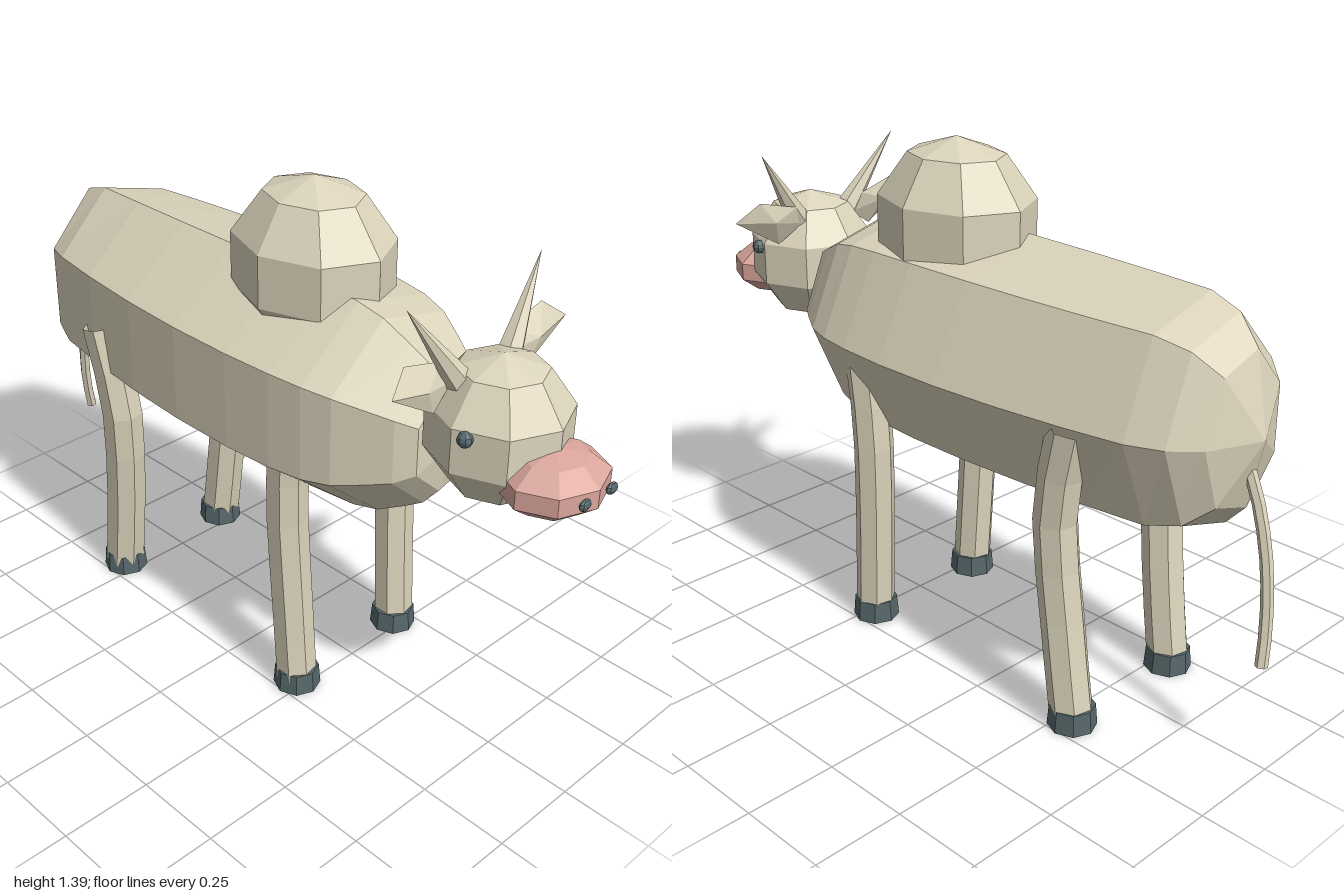
import * as THREE from 'three';
import { ConvexGeometry } from 'three/addons/geometries/ConvexGeometry.js';

const mat = (color) => new THREE.MeshStandardMaterial({ color, flatShading: true, side: THREE.DoubleSide });
const V = (x, y, z) => new THREE.Vector3(x, y, z);

export function createModel() {
  const model = new THREE.Group();
  model.name = 'ox';
  const hide = mat(0xdcd4bc), pink = mat(0xdba79d), dark = mat(0x56676a);

  const add = (name, geometry, material, pos = [0, 0, 0]) => {
    const mesh = new THREE.Mesh(geometry, material);
    mesh.name = name;
    mesh.position.set(...pos);
    model.add(mesh);
    return mesh;
  };
  // Faceted ellipsoid
  const blob = (name, material, pos, radii, w = 8, h = 5) =>
    add(name, new THREE.SphereGeometry(1, w, h), material, pos).scale.set(...radii);
  // Limb swept along a smooth path
  const limb = (name, points, radius, sides, steps = 6) =>
    add(name, new THREE.TubeGeometry(new THREE.CatmullRomCurve3(points), steps, radius, sides), hide);

  // Body: seven-sided barrel with rounded ends, slimmer toward both ends
  const profile = [
    [0, -0.925], [0.205, -0.865], [0.275, -0.8], [0.304, -0.71], [0.307, -0.55],
    [0.31, -0.35], [0.312, -0.15], [0.312, 0.05], [0.308, 0.2], [0.3, 0.3],
    [0.28, 0.38], [0.235, 0.46], [0.2, 0.515], [0.15, 0.555], [0, 0.58],
  ].map(([r, z]) => new THREE.Vector2(r, z));
  const body = new THREE.LatheGeometry(profile, 7, Math.PI / 2);
  body.rotateX(Math.PI / 2);
  const p = body.attributes.position;
  for (let i = 0; i < p.count; i++) {
    p.setX(i, p.getX(i) * (1 - 0.42 * (p.getZ(i) + 0.03) ** 2));
  }
  body.computeVertexNormals();
  add('body', body, hide, [0, 0.856, 0]);

  blob('hump', hide, [0, 1.165, 0.08], [0.2, 0.23, 0.242]);
  blob('head', hide, [0, 0.95, 0.7], [0.183, 0.19, 0.188]);
  blob('muzzle', pink, [0, 0.88, 0.865], [0.147, 0.08, 0.134]);

  for (const s of [1, -1]) {
    const side = s > 0 ? 'left' : 'right';
    blob(side + 'Eye', dark, [s * 0.167, 0.993, 0.735], [0.02, 0.02, 0.02], 8, 6);
    blob(side + 'Nostril', dark, [s * 0.05, 0.887, 0.99], [0.02, 0.015, 0.01], 8, 6);

    // Horn: slim cone leaning outward and slightly back
    const base = V(s * 0.09, 1.08, 0.645), tip = V(s * 0.236, 1.292, 0.605);
    const dir = tip.clone().sub(base);
    const horn = add(side + 'Horn', new THREE.ConeGeometry(0.034, dir.length(), 6), hide);
    horn.position.copy(base).addScaledVector(dir, 0.5);
    horn.quaternion.setFromUnitVectors(V(0, 1, 0), dir.normalize());

    // Ear: flat diamond with a raised middle
    add(side + 'Ear', new ConvexGeometry([
      V(s * 0.31, 1.108, 0.64), V(s * 0.244, 1.158, 0.612), V(s * 0.12, 1.125, 0.61),
      V(s * 0.167, 1.02, 0.64), V(s * 0.09, 1.07, 0.625),
      V(s * 0.2, 1.09, 0.652), V(s * 0.2, 1.095, 0.602),
    ]), hide);

    // Legs and hooves
    limb(side + 'FrontLeg', [V(s * 0.196, 0.03, 0.225), V(s * 0.2, 0.3, 0.21),
      V(s * 0.208, 0.6, 0.2), V(s * 0.214, 0.8, 0.215)], 0.056, 7);
    limb(side + 'BackLeg', [V(s * 0.196, 0.03, -0.54), V(s * 0.2, 0.3, -0.505),
      V(s * 0.212, 0.6, -0.485), V(s * 0.222, 0.84, -0.535)], 0.058, 7);
    for (const [name, z] of [['FrontHoof', 0.225], ['BackHoof', -0.54]]) {
      add(side + name, new THREE.CylinderGeometry(0.06, 0.065, 0.06, 8), dark, [s * 0.194, 0.03, z]);
    }
  }

  // Tail
  limb('tail', [V(0, 0.82, -0.865), V(-0.004, 0.7, -0.915), V(0, 0.55, -0.955),
    V(0.012, 0.4, -0.975), V(0.03, 0.3, -0.983)], 0.016, 6, 8);

  return model;
}
